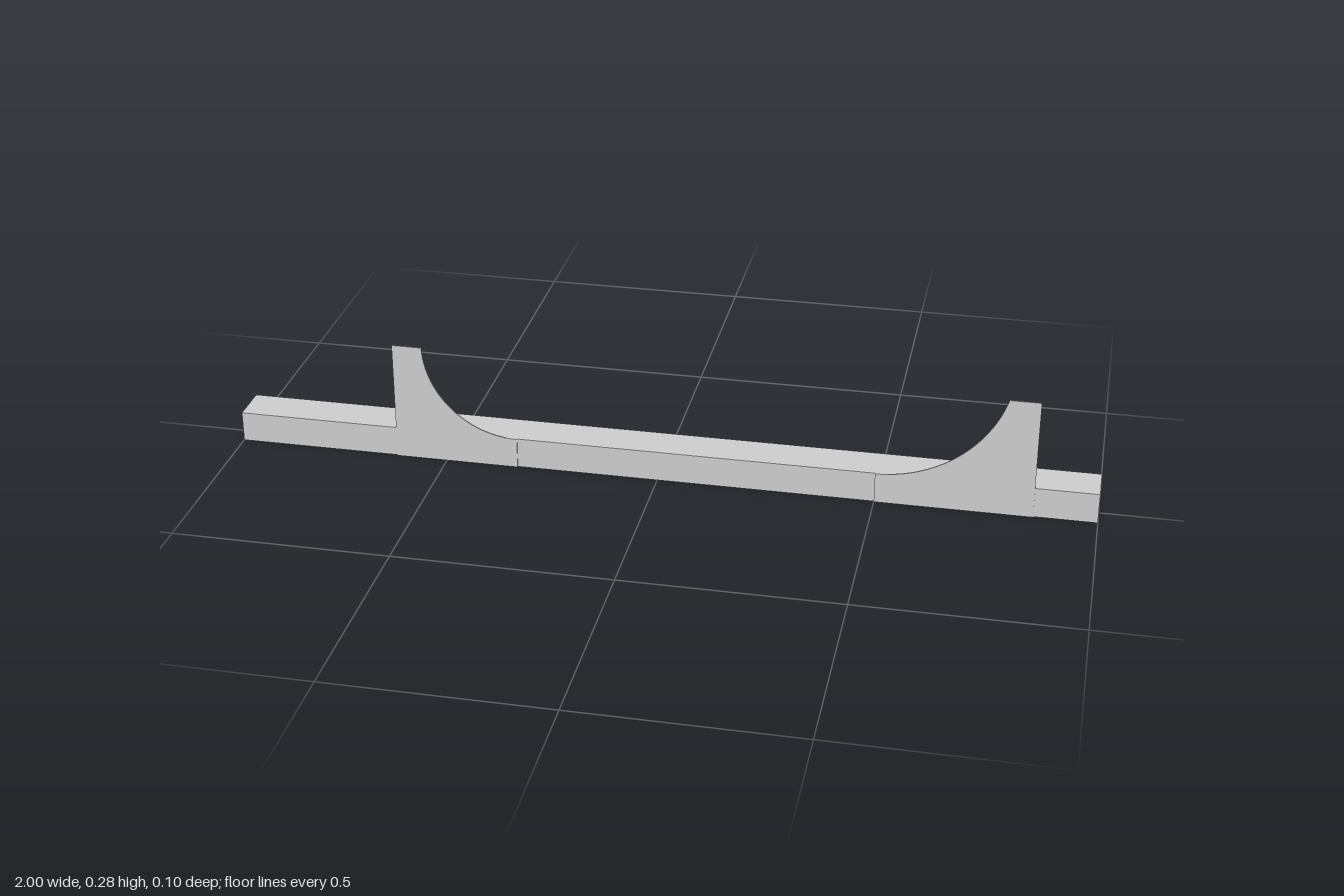
import * as THREE from 'three';

const material = new THREE.MeshStandardMaterial({ color: 0xcccccc, flatShading: true });

// Upright plate: straight outer edge, narrow top, concave arc sweeping down to the tube top
function bracketPlate(outerX, topX, endX) {
  const height = 0.285, seat = 0.072, bottom = 0, rise = height - seat;
  const run = Math.abs(topX - endX);
  const radius = (run * run + rise * rise) / (2 * rise); // arc is level where it meets the tube
  const sweep = Math.atan2(run, radius - rise);
  const side = Math.sign(topX - endX);
  const shape = new THREE.Shape();
  shape.moveTo(outerX, bottom);
  shape.lineTo(outerX, height);
  shape.lineTo(topX, height);
  const steps = 24;
  for (let i = 1; i <= steps; i++) {
    const a = sweep * (1 - i / steps);
    shape.lineTo(endX + side * radius * Math.sin(a), seat + radius * (1 - Math.cos(a)));
  }
  shape.lineTo(endX, bottom);
  shape.closePath();
  const geometry = new THREE.ExtrudeGeometry(shape, { depth: 0.003, bevelEnabled: false });
  geometry.translate(0, 0, 0.047);
  return geometry;
}

// Hollow rectangular tube, open at both ends, running along x
function tubeGeometry() {
  const back = -0.05, front = 0.047, top = 0.072, wall = 0.003;
  const rect = (path, inset) => {
    path.moveTo(-front + inset, inset);
    path.lineTo(-back - inset, inset);
    path.lineTo(-back - inset, top - inset);
    path.lineTo(-front + inset, top - inset);
    path.closePath();
    return path;
  };
  const shape = rect(new THREE.Shape(), 0);
  shape.holes.push(rect(new THREE.Path(), wall));
  const geometry = new THREE.ExtrudeGeometry(shape, { depth: 2, bevelEnabled: false });
  geometry.translate(0, 0, -1);
  geometry.rotateY(Math.PI / 2); // length to x, section x to -z
  return geometry;
}

export function createModel() {
  const group = new THREE.Group();
  const add = (name, geometry) => {
    const mesh = new THREE.Mesh(geometry, material);
    mesh.name = name;
    group.add(mesh);
  };
  add('rectangularTube', tubeGeometry());
  // Plates on the front face of the tube
  add('rightBracketPlate', bracketPlate(-0.62, -0.55, -0.33));
  add('leftBracketPlate', bracketPlate(0.857, 0.787, 0.5));
  return group;
}
